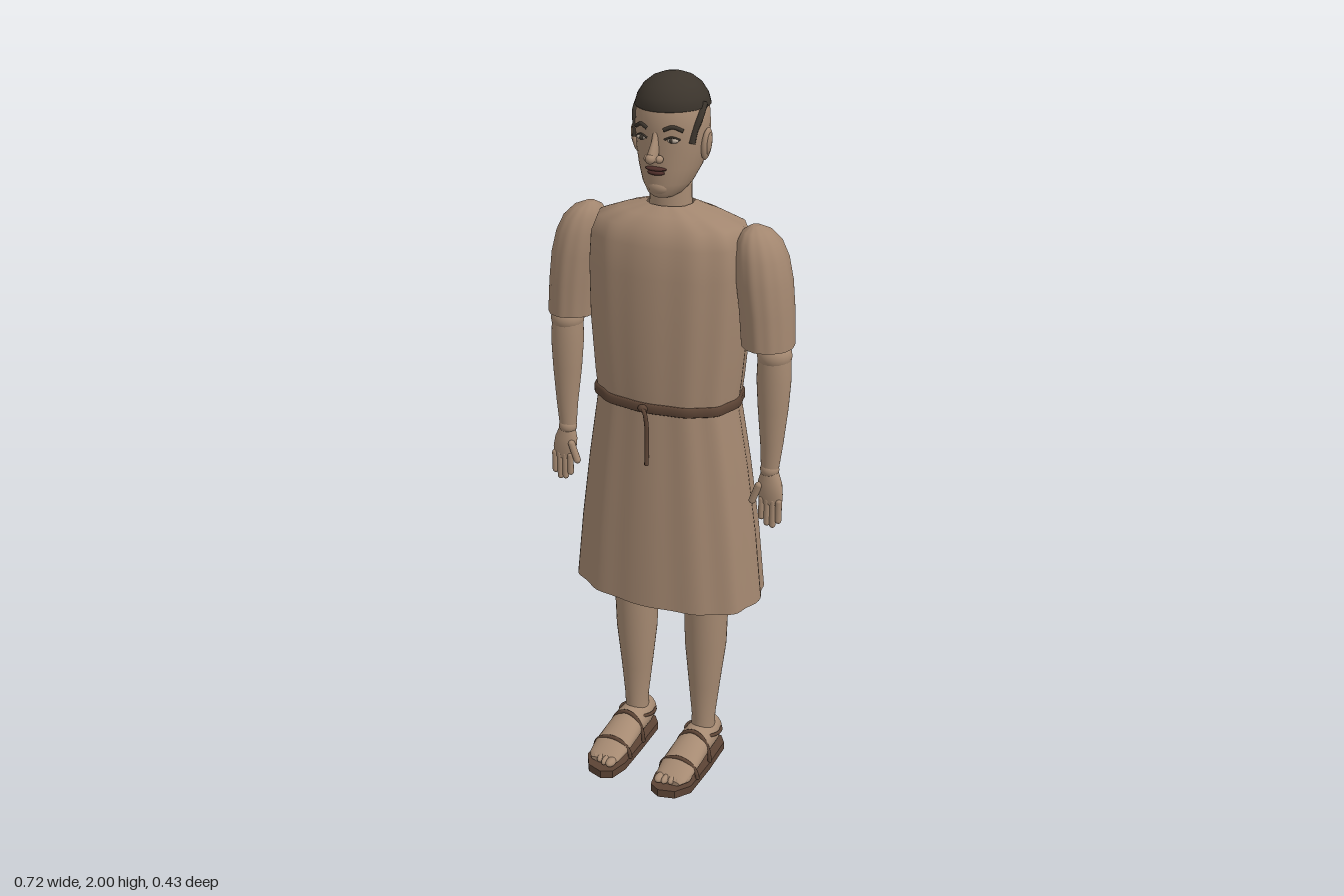
import * as THREE from 'three';

const mat = (name, color, side = THREE.FrontSide) => {
  const m = new THREE.MeshStandardMaterial({ color, side });
  m.name = name;
  return m;
};

// Lofts ellipse-like rings stacked upward: [y, rx, rz, cx, cz]
function loft(rings, { n = 32, e = 1, fold = 0, caps = true } = {}) {
  const pos = [], idx = [];
  const pw = v => Math.sign(v) * Math.abs(v) ** e;
  const ring = ([y, rx, rz, cx = 0, cz = 0]) => {
    for (let i = 0; i < n; i++) {
      const a = i / n * Math.PI * 2;
      const k = 1 + fold * (Math.cos(12 * a) + 0.5 * Math.cos(5 * a + 1));
      pos.push(cx + rx * k * pw(Math.sin(a)), y, cz + rz * k * pw(Math.cos(a)));
    }
  };
  rings.forEach(ring);
  for (let r = 0; r < rings.length - 1; r++) for (let i = 0; i < n; i++) {
    const a = r * n + i, b = r * n + (i + 1) % n;
    idx.push(a, b, a + n, b, b + n, a + n);
  }
  if (caps) [[rings[0], false], [rings[rings.length - 1], true]].forEach(([q, up]) => {
    const base = pos.length / 3;
    ring(q);
    pos.push(q[3] || 0, q[0], q[4] || 0);
    for (let i = 0; i < n; i++) {
      const a = base + i, b = base + (i + 1) % n, c = base + n;
      up ? idx.push(a, b, c) : idx.push(b, a, c);
    }
  });
  const g = new THREE.BufferGeometry();
  g.setAttribute('position', new THREE.Float32BufferAttribute(pos, 3));
  g.setIndex(idx);
  g.computeVertexNormals();
  return g;
}

const tube = (pts, r, seg = 16) => new THREE.TubeGeometry(
  new THREE.CatmullRomCurve3(pts.map(p => new THREE.Vector3(...p))), seg, r, 8);

export function createModel() {
  const root = new THREE.Group();
  root.name = 'robedMan';
  const skin = mat('skin', 0xa68a72);
  const cloth = mat('tunicCloth', 0xa2866f, THREE.DoubleSide);
  const leather = mat('leather', 0x5c4435);
  const hair = mat('hair', 0x3b342c);
  const lip = mat('lips', 0x4f2f2a);
  const white = mat('eyeWhite', 0xb5a798);
  const add = (name, geo, m) => {
    const mesh = new THREE.Mesh(geo, m);
    mesh.name = name;
    root.add(mesh);
    return mesh;
  };
  const ball = (name, m, p, s, rz = 0) => {
    const b = add(name, new THREE.SphereGeometry(1, 20, 14), m);
    b.position.set(...p);
    b.scale.set(...s);
    b.rotation.z = rz;
    return b;
  };

  // Tunic with soft vertical folds, gathered at the belt
  add('skirt', loft([
    [0.56, 0.275, 0.172, 0, -0.04], [0.75, 0.255, 0.164, 0, -0.04], [0.95, 0.228, 0.15, 0, -0.037],
    [1.08, 0.207, 0.139, 0, -0.034], [1.14, 0.197, 0.135, 0, -0.033],
  ], { n: 96, e: 0.85, fold: 0.018, caps: false }), cloth);
  add('tunicBody', loft([
    [1.13, 0.197, 0.138, 0, -0.033], [1.2, 0.205, 0.144, 0, -0.035], [1.35, 0.218, 0.148, 0, -0.038],
    [1.5, 0.222, 0.145, 0, -0.04], [1.58, 0.218, 0.135, 0, -0.04], [1.625, 0.2, 0.118, 0, -0.04],
    [1.65, 0.135, 0.088, 0, -0.04], [1.67, 0.06, 0.056, 0, -0.04],
  ], { n: 96, e: 0.85, fold: 0.014, caps: false }), cloth);

  // Belt and hanging cord
  add('belt', loft([
    [1.132, 0.2, 0.142, 0, -0.033], [1.136, 0.207, 0.149, 0, -0.033],
    [1.156, 0.207, 0.149, 0, -0.033], [1.16, 0.2, 0.142, 0, -0.033],
  ], { n: 96, e: 0.85, fold: 0.012 }), leather);
  add('beltCord', tube([[-0.01, 1.15, 0.115], [0.008, 1.145, 0.128], [0.014, 1.11, 0.126],
    [0.014, 1.06, 0.124], [0.015, 0.99, 0.128]], 0.006), leather);
  ball('beltKnot', leather, [0, 1.148, 0.12], [0.014, 0.011, 0.01]);

  // Neck and head
  add('neck', loft([[1.63, 0.057, 0.052, 0, -0.04], [1.73, 0.055, 0.051, 0, -0.04]]), skin);
  add('head', loft([
    [1.695, 0.028, 0.035, 0, -0.005], [1.705, 0.045, 0.052, 0, -0.012], [1.73, 0.064, 0.068, 0, -0.024],
    [1.77, 0.081, 0.085, 0, -0.04], [1.82, 0.093, 0.095, 0, -0.049], [1.87, 0.096, 0.098, 0, -0.05],
    [1.92, 0.092, 0.097, 0, -0.05], [1.96, 0.07, 0.075, 0, -0.05],
  ]), skin);
  add('hairCap', loft([
    [1.915, 0.09, 0.097, 0, -0.05], [1.92, 0.096, 0.102, 0, -0.05], [1.945, 0.089, 0.096, 0, -0.05],
    [1.97, 0.073, 0.079, 0, -0.05], [1.988, 0.05, 0.054, 0, -0.05], [1.997, 0.025, 0.027, 0, -0.05],
    [2.0, 0.004, 0.004, 0, -0.05],
  ]), hair);

  // Face
  add('noseBridge', loft([[1.795, 0.014, 0.022, 0, 0.06], [1.81, 0.013, 0.022, 0, 0.06],
    [1.84, 0.009, 0.014, 0, 0.046], [1.865, 0.007, 0.006, 0, 0.042]], { n: 16 }), skin);
  ball('noseTip', skin, [0, 1.803, 0.073], [0.013, 0.013, 0.014]);
  ball('upperLip', lip, [0, 1.772, 0.043], [0.03, 0.006, 0.013]);
  ball('lowerLip', lip, [0, 1.762, 0.041], [0.024, 0.007, 0.014]);
  ball('chin', skin, [0, 1.722, 0.03], [0.028, 0.02, 0.016]);

  for (const s of [1, -1]) {
    const side = s > 0 ? 'left' : 'right';
    ball(side + 'Nostril', skin, [s * 0.016, 1.8, 0.055], [0.01, 0.01, 0.013]);
    ball(side + 'Eye', white, [s * 0.042, 1.846, 0.034], [0.017, 0.007, 0.009]);
    ball(side + 'Iris', hair, [s * 0.042, 1.846, 0.04], [0.006, 0.006, 0.005]);
    add(side + 'EyelidLine', tube([[s * 0.024, 1.848, 0.044], [s * 0.042, 1.855, 0.04],
      [s * 0.061, 1.848, 0.028]], 0.0025), hair);
    add(side + 'Eyebrow', tube([[s * 0.022, 1.872, 0.045], [s * 0.044, 1.88, 0.038],
      [s * 0.066, 1.87, 0.023]], 0.005), hair);
    add(side + 'Sideburn', tube([[s * 0.091, 1.93, -0.045], [s * 0.091, 1.895, -0.018],
      [s * 0.083, 1.865, -0.006], [s * 0.08, 1.835, 0.002]], 0.009), hair);
    ball(side + 'Ear', skin, [s * 0.099, 1.828, -0.043], [0.011, 0.042, 0.022], -s * 0.12);
    ball(side + 'EarInner', skin, [s * 0.107, 1.83, -0.04], [0.006, 0.028, 0.012], -s * 0.12);

    // Sleeve, forearm and hand
    add(side + 'Sleeve', loft([
      [1.33, 0.068, 0.074, s * 0.29, -0.026], [1.42, 0.07, 0.078, s * 0.283, -0.03],
      [1.5, 0.071, 0.08, s * 0.273, -0.032], [1.56, 0.066, 0.074, s * 0.264, -0.035],
      [1.6, 0.056, 0.062, s * 0.255, -0.037], [1.625, 0.038, 0.042, s * 0.247, -0.039],
      [1.638, 0.012, 0.014, s * 0.241, -0.04],
    ], { n: 72, fold: 0.012 }), cloth);
    ball(side + 'Elbow', skin, [s * 0.31, 1.305, -0.024], [0.046, 0.042, 0.046]);
    add(side + 'Forearm', loft([
      [0.985, 0.024, 0.022, s * 0.311, -0.013], [1.06, 0.031, 0.028, s * 0.313, -0.016],
      [1.16, 0.041, 0.037, s * 0.312, -0.02], [1.24, 0.046, 0.042, s * 0.311, -0.022],
      [1.3, 0.044, 0.042, s * 0.31, -0.024],
    ]), skin);
    ball(side + 'Wrist', skin, [s * 0.311, 0.985, -0.012], [0.026, 0.024, 0.024]);
    add(side + 'Palm', loft([
      [0.89, 0.033, 0.012, s * 0.321, -0.002], [0.92, 0.036, 0.017, s * 0.318, -0.004],
      [0.95, 0.034, 0.02, s * 0.315, -0.008], [0.985, 0.022, 0.019, s * 0.312, -0.012],
    ], { n: 20 }), skin);
    [0.84, 0.825, 0.822, 0.838].forEach((y, i) => {
      const x = s * (0.297 + i * 0.0165), len = 0.91 - y - 0.018;
      const f = add(side + 'Finger' + (i + 1), new THREE.CapsuleGeometry(0.009, len, 4, 10), skin);
      f.position.set(x, (0.91 + y) / 2, 0.003);
    });
    add(side + 'Thumb', new THREE.CapsuleGeometry(0.01, 0.05, 4, 10), skin)
      .position.set(s * 0.28, 0.917, 0.008);
    root.children[root.children.length - 1].rotation.z = -s * 0.35;

    // Leg
    add(side + 'Leg', loft([
      [0.08, 0.034, 0.038, s * 0.11, -0.04], [0.14, 0.034, 0.037, s * 0.111, -0.04],
      [0.25, 0.046, 0.046, s * 0.111, -0.043], [0.38, 0.06, 0.06, s * 0.112, -0.046],
      [0.56, 0.064, 0.066, s * 0.113, -0.045], [0.75, 0.068, 0.07, s * 0.113, -0.045],
    ]), skin);

    // Foot lofted from heel to toe
    const foot = loft([
      [-0.1, 0.022, 0.022, 0, -0.07], [-0.09, 0.038, 0.042, 0, -0.068], [-0.05, 0.046, 0.048, 0, -0.07],
      [0, 0.049, 0.045, 0, -0.068], [0.06, 0.052, 0.036, 0, -0.058], [0.12, 0.054, 0.025, 0, -0.047],
      [0.165, 0.048, 0.015, 0, -0.038], [0.18, 0.035, 0.008, 0, -0.033],
    ].map(r => { r[3] = s * 0.11; return r; }), { n: 24 });
    foot.rotateX(Math.PI / 2);
    add(side + 'Foot', foot, skin);
    for (let i = 0; i < 5; i++)
      ball(side + 'Toe' + (i + 1), skin, [s * (0.08 + i * 0.018), 0.037, 0.177 - i * i * 0.0022],
        [i ? 0.01 : 0.014, 0.012, 0.022]);

    // Sandal sole and straps
    const sole = new THREE.Shape([
      [0.05, 0.147], [0.063, 0.2], [0.094, 0.216], [0.141, 0.202], [0.17, 0.157], [0.168, 0.03],
      [0.16, -0.08], [0.138, -0.108], [0.085, -0.108], [0.062, -0.08], [0.055, 0.03],
    ].map(([x, z]) => new THREE.Vector2(s * x, -z)));
    const soleGeo = new THREE.ExtrudeGeometry(sole, { depth: 0.024, bevelEnabled: false });
    soleGeo.rotateX(-Math.PI / 2);
    add(side + 'Sole', soleGeo, leather);
    [[0.115, 0.06, 0.052], [0.025, 0.055, 0.088]].forEach(([z, w, h], k) => {
      const pts = [];
      for (let i = 0; i <= 8; i++) {
        const a = i / 8 * Math.PI;
        pts.push([s * 0.11 - w * Math.cos(a), 0.022 + h * Math.sin(a), z]);
      }
      add(side + 'Strap' + (k + 1), tube(pts, 0.006, 24), leather);
    });
    const heel = add(side + 'HeelStrap', new THREE.TorusGeometry(0.05, 0.005, 8, 32), leather);
    heel.rotation.x = Math.PI / 2 - 0.2;
    heel.scale.y = 1.18;
    heel.position.set(s * 0.11, 0.082, -0.042);
  }
  return root;
}
